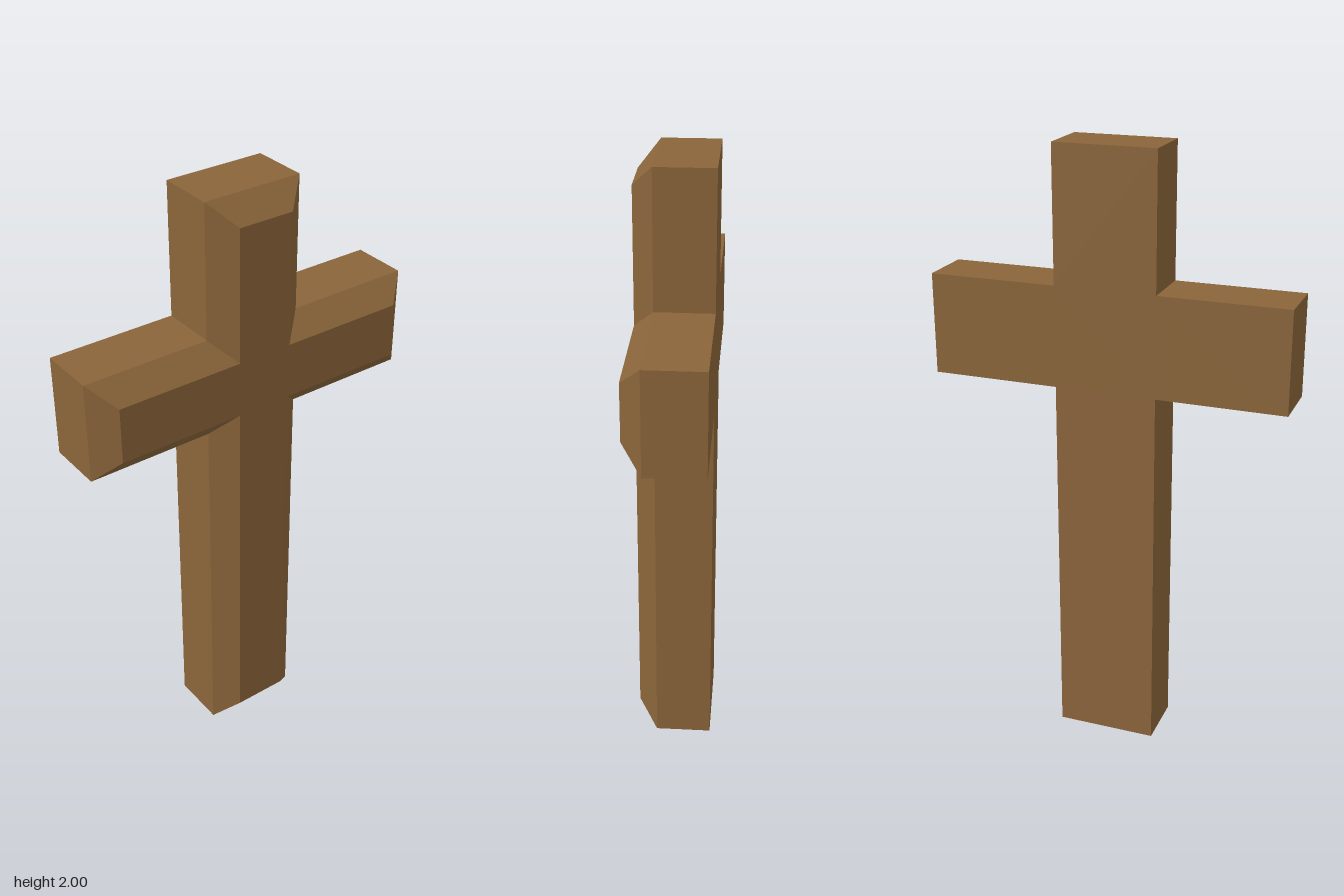
import * as THREE from 'three';

// Cross outline, counter-clockwise seen from +x, shrunk evenly by d
function outline(d) {
  const w = 0.165 - d, arm = 0.582 - d;
  const bottom = d, top = 2 - d, low = 1.238 + d, high = 1.567 - d;
  return [
    [-w, bottom], [w, bottom], [w, low], [arm, low], [arm, high], [w, high],
    [w, top], [-w, top], [-w, high], [-arm, high], [-arm, low], [-w, low],
  ].map(([u, v]) => new THREE.Vector2(u, v));
}

// Band of quads between two outlines at different depths
function band(lower, x0, upper, x1) {
  const tris = [];
  lower.forEach((p, i) => {
    const j = (i + 1) % lower.length;
    const a = [x0, p.y, -p.x], b = [x0, lower[j].y, -lower[j].x];
    const c = [x1, upper[j].y, -upper[j].x], e = [x1, upper[i].y, -upper[i].x];
    tris.push(...a, ...b, ...c, ...a, ...c, ...e);
  });
  return tris;
}

// Flat cap filling an outline
function cap(points, x, flip) {
  return THREE.ShapeUtils.triangulateShape(points, []).flatMap((face) =>
    (flip ? [...face].reverse() : face).flatMap((k) => [x, points[k].y, -points[k].x]));
}

export function createModel() {
  const group = new THREE.Group();
  group.name = 'cross';
  const wood = new THREE.MeshStandardMaterial({ color: 0x8b653b });
  wood.name = 'brown wood';

  const add = (name, positions) => {
    const geometry = new THREE.BufferGeometry();
    geometry.setAttribute('position', new THREE.Float32BufferAttribute(positions, 3));
    geometry.computeVertexNormals();
    const mesh = new THREE.Mesh(geometry, wood);
    mesh.name = name;
    group.add(mesh);
  };

  const back = -0.125, shoulder = 0.06, face = 0.125;
  const outer = outline(0), inner = outline(0.073);

  // Straight-sided body with a flat back
  add('body', [...band(outer, back, outer, shoulder), ...cap(outer, back, true)]);
  // Chamfered edge and raised flat face
  add('chamfer', band(outer, shoulder, inner, face));
  add('face', cap(inner, face, false));

  return group;
}
